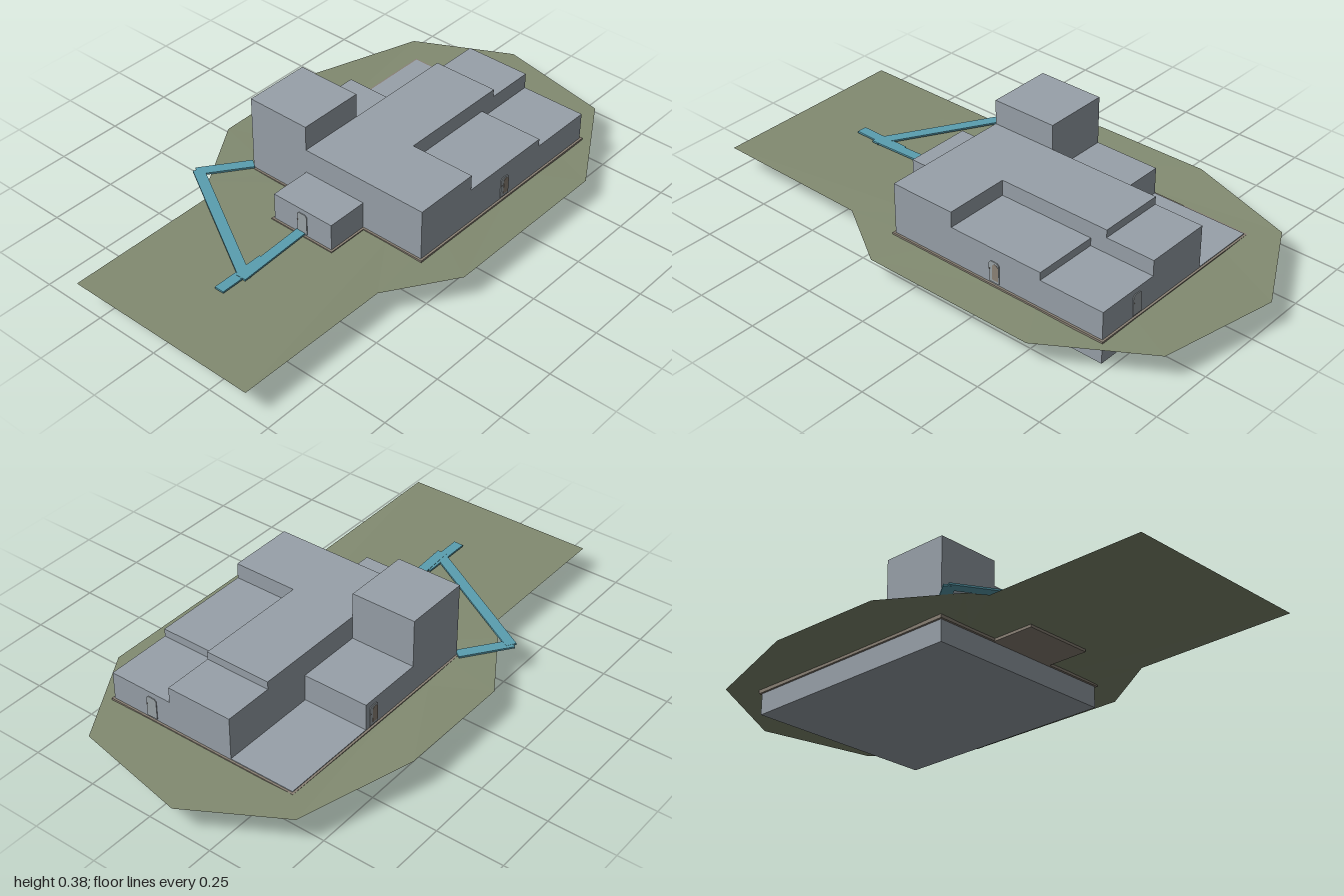
import * as THREE from 'three';

const mat = (name, color) => {
  const m = new THREE.MeshStandardMaterial({ color });
  m.name = name;
  return m;
};

export function createModel() {
  const group = new THREE.Group();
  const concrete = mat('concrete', 0x98a1a9);
  const grass = mat('grass', 0x828b71);
  grass.side = THREE.DoubleSide;
  grass.flatShading = true;
  const teal = mat('teal path', 0x5a9fb0);
  const skirtBrown = mat('skirt brown', 0x8a8175);
  const doorGrey = mat('door grey', 0x9ca4a8);
  const panelBrown = mat('door panel brown', 0x8d8478);

  const add = (name, geo, material, parent = group) => {
    const mesh = new THREE.Mesh(geo, material);
    mesh.name = name;
    parent.add(mesh);
    return mesh;
  };
  // Box given by its limits on each axis
  const block = (name, x0, x1, y0, y1, z0, z1, material = concrete) =>
    add(name, new THREE.BoxGeometry(x1 - x0, y1 - y0, z1 - z0), material)
      .position.set((x0 + x1) / 2, (y0 + y1) / 2, (z0 + z1) / 2);

  // Building volumes on a three-column plan
  const A = -0.35, B = -0.097, C = 0.16, D = 0.412;
  const back = -0.717, front = 0.175, floor = 0.097;
  block('basement', A, D, 0, floor, back, front);
  block('tower', A, B, floor, 0.385, -0.083, front);
  block('sideWing', A, B, floor, 0.2, -0.34, -0.083);
  block('mainHall', B, C, floor, 0.29, -0.527, front);
  block('mainHallFront', C, D, floor, 0.29, -0.083, front);
  block('rearHall', B, C, floor, 0.26, back, -0.527);
  block('eastWing', C, D, floor, 0.23, -0.463, -0.083);
  block('rearEastWing', C, D, floor, 0.2, back, -0.463);
  block('porch', B, C, 0.086, 0.197, front, 0.335);

  // Skirting slab around the foot of the walls
  const o = 0.008;
  block('buildingSkirt', A - o, D + o, 0.08, 0.094, back - o, front + o, skirtBrown);
  block('porchSkirt', B - o, C + o, 0.08, 0.094, front, 0.335 + o, skirtBrown);

  // Thin doors with clipped top corners, facing +z before turning
  const doorShape = (w, h) => {
    const c = 0.008;
    return new THREE.Shape([
      [-w / 2, 0], [w / 2, 0], [w / 2, h - c], [w / 2 - c, h],
      [-w / 2 + c, h], [-w / 2, h - c],
    ].map(([x, y]) => new THREE.Vector2(x, y)));
  };
  const door = (name, x, z, turn, panel) => {
    const g = new THREE.Group();
    g.name = name;
    const plate = (w, h, depth) =>
      new THREE.ExtrudeGeometry(doorShape(w, h), { depth, bevelEnabled: false });
    add('doorLeaf', plate(0.043, 0.08, 0.003), doorGrey, g);
    if (panel) add('doorPanel', plate(0.026, 0.062, 0.004), panelBrown, g).position.set(0.006, 0.01, 0);
    add('doorKnob', new THREE.SphereGeometry(0.002, 8, 6), panelBrown, g).position.set(-0.018, 0.05, 0.004);
    g.position.set(x, 0.1, z);
    g.rotation.y = turn;
    group.add(g);
  };
  door('porchDoor', 0.031, 0.335, 0, false);
  door('eastDoor', D, -0.27, Math.PI / 2, true);
  door('westDoor', A, -0.3, -Math.PI / 2, true);
  door('rearDoor', 0.24, back, Math.PI, false);

  // Ground sheet: rim points as x, y, z around a flat centre
  const rim = [
    [-0.10, 0.09, -1], [0.345, 0.09, -0.91], [0.567, 0.082, -0.54], [0.567, 0.08, 0.14],
    [0.41, 0.085, 0.39], [0.41, 0.09, 1], [-0.35, 0.09, 1], [-0.35, 0.092, 0.39],
    [-0.41, 0.095, 0.34], [-0.57, 0.1, 0.08], [-0.57, 0.106, -0.38], [-0.44, 0.097, -0.81],
  ].map(p => new THREE.Vector3(...p));
  const centre = new THREE.Vector3(0, 0.09, -0.2);
  const inner = rim.map(p => p.clone().lerp(centre, 0.35).setY(0.09));
  const pts = [];
  rim.forEach((p, i) => {
    const j = (i + 1) % rim.length;
    pts.push(centre, inner[j], inner[i], inner[i], inner[j], rim[j], inner[i], rim[j], p);
  });
  const ground = new THREE.BufferGeometry().setFromPoints(pts);
  ground.computeVertexNormals();
  add('ground', ground, grass);

  // Path strips between two x, z points
  const strip = (name, x0, z0, x1, z1, w, y) => {
    const len = Math.hypot(x1 - x0, z1 - z0);
    const m = add(name, new THREE.BoxGeometry(w, 0.007, len), teal);
    m.position.set((x0 + x1) / 2, y, (z0 + z1) / 2);
    m.rotation.y = Math.atan2(x1 - x0, z1 - z0);
  };
  strip('towerPath', -0.355, 0.17, -0.475, 0.335, 0.04, 0.1);
  strip('diagonalPath', -0.475, 0.325, 0.05, 0.63, 0.04, 0.1005);
  strip('porchPath', 0.025, 0.335, 0.04, 0.64, 0.038, 0.101);
  strip('frontPath', 0.027, 0.52, 0.027, 0.727, 0.038, 0.0995);

  return group;
}
